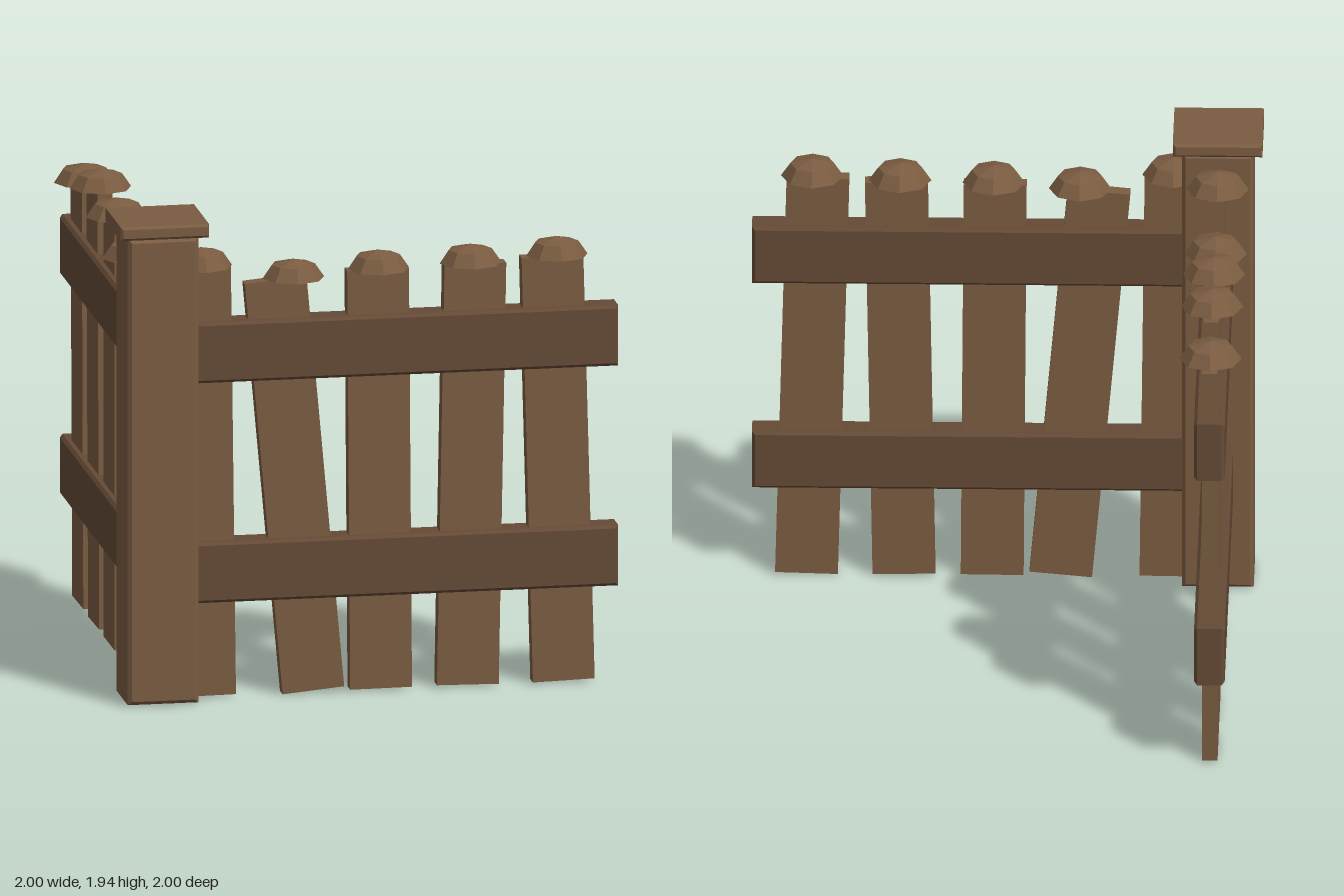
import * as THREE from 'three';

const wood = new THREE.MeshStandardMaterial({ color: 0x7a5c41, flatShading: true });
const darkWood = new THREE.MeshStandardMaterial({ color: 0x644a36, flatShading: true });

const CORNER = 0.825; // distance of the post axis from the centre
const WIDTH = 0.245, THICK = 0.06;

// Box with chamfered edges, centred on its origin
function chamferBox(w, h, d, c) {
  const x = w / 2 - c, y = h / 2 - c;
  const shape = new THREE.Shape([
    new THREE.Vector2(-x, -y), new THREE.Vector2(x, -y),
    new THREE.Vector2(x, y), new THREE.Vector2(-x, y),
  ]);
  return new THREE.ExtrudeGeometry(shape, {
    depth: d - 2 * c, bevelEnabled: true, bevelSize: c, bevelThickness: c, bevelSegments: 1,
  }).translate(0, 0, c - d / 2);
}

function add(parent, name, geometry, material, x, y, z) {
  const mesh = new THREE.Mesh(geometry, material);
  mesh.name = name;
  mesh.position.set(x, y, z);
  parent.add(mesh);
  return mesh;
}

// Faceted eight-sided dome with a closed underside
const domeGeometry = new THREE.LatheGeometry([
  new THREE.Vector2(0, 0), new THREE.Vector2(0.122, 0),
  new THREE.Vector2(0.086, 0.053), new THREE.Vector2(0, 0.075),
], 8);

// One fence run along local x; pickets are [centre, top height, sideways lean]
function buildPanel(name, pickets) {
  const panel = new THREE.Group();
  panel.name = name;

  const railGeometry = chamferBox(1.69, 0.243, 0.12, 0.012);
  add(panel, 'lowerRail', railGeometry, darkWood, 0.15, 0.509, 0);
  add(panel, 'upperRail', railGeometry, darkWood, 0.15, 1.392, 0);

  for (const [x, top, lean] of pickets) {
    const height = top - 0.01;
    const board = add(panel, 'picket', new THREE.BoxGeometry(WIDTH, height, THICK), wood,
      x, 0.01 + height / 2, 0);
    board.rotation.z = -Math.atan(lean / height);
    add(panel, 'picketCap', domeGeometry, wood, x, top - 0.002, 0);
  }
  return panel;
}

export function createModel() {
  const model = new THREE.Group();
  model.name = 'cornerFence';

  // Corner post and its cap
  add(model, 'post', chamferBox(0.28, 1.87, 0.28, 0.015), wood, -CORNER, 0.945, CORNER);
  add(model, 'postCap', chamferBox(0.35, 0.055, 0.35, 0.01), wood, -CORNER, 1.912, CORNER);

  // Front run
  const front = buildPanel('frontPanel', [
    [-0.65, 1.732, -0.02], [-0.285, 1.67, -0.15], [0.052, 1.692, -0.012],
    [0.417, 1.7, 0.03], [0.76, 1.716, -0.045],
  ]);
  front.position.z = CORNER - 0.005;
  model.add(front);

  // Side run, heading towards the back
  const side = buildPanel('sidePanel', [
    [-0.65, 1.752, -0.005], [-0.287, 1.646, -0.13], [0.07, 1.726, 0.006],
    [0.427, 1.757, 0.042], [0.773, 1.697, 0.035],
  ]);
  side.rotation.y = Math.PI / 2;
  side.position.x = -CORNER;
  model.add(side);

  return model;
}
